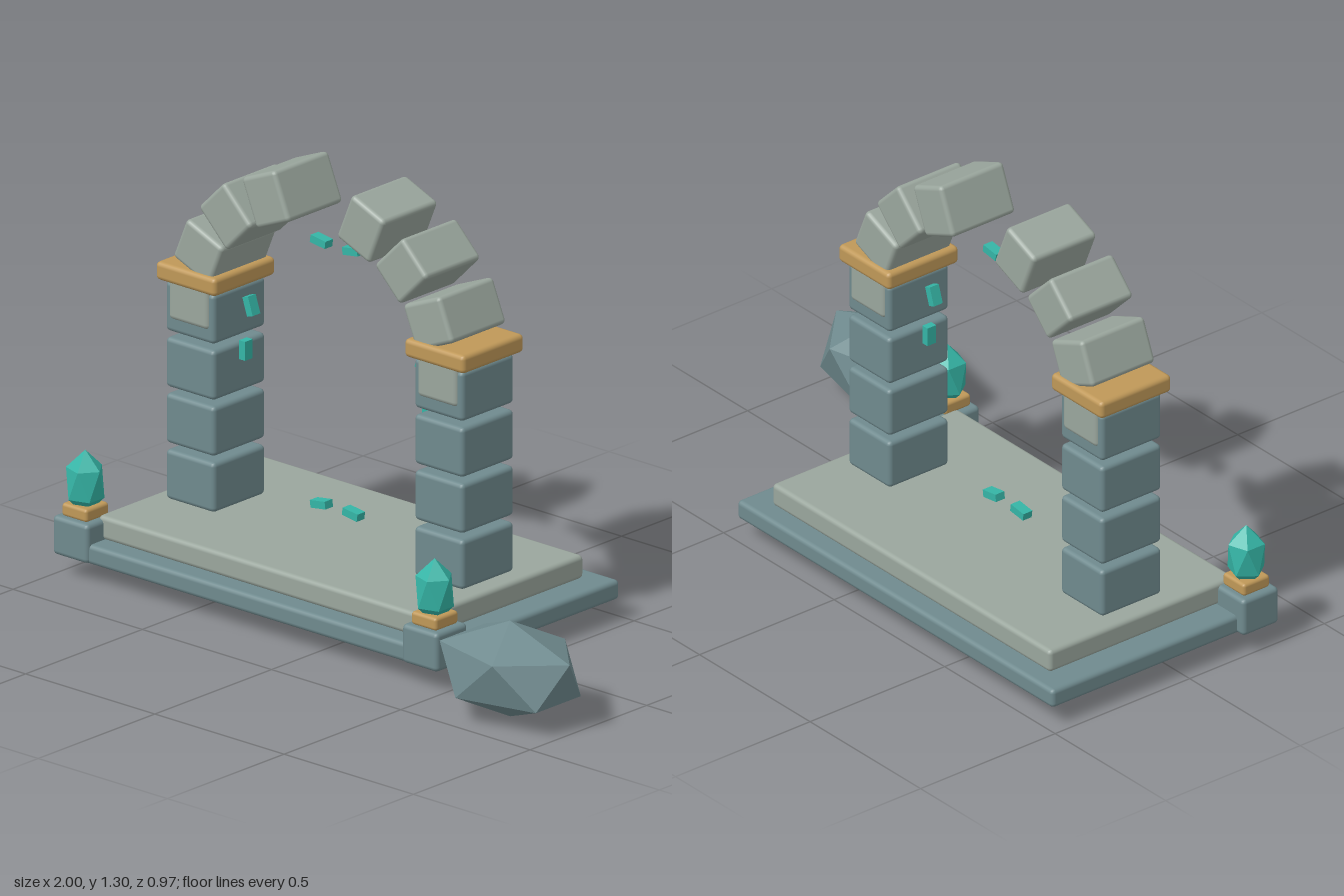
import * as THREE from 'three';
import { RoundedBoxGeometry } from 'three/addons/geometries/RoundedBoxGeometry.js';

const CX = -0.255; // middle of the gate
const CZ = -0.075; // depth line of pillars and arch

export function createModel() {
  const model = new THREE.Group();
  model.name = 'ruinedArchGate';

  const mat = (name, color, flatShading = false) => {
    const m = new THREE.MeshStandardMaterial({ color, flatShading });
    m.name = name;
    return m;
  };
  const slate = mat('slate', 0x6f8a8e);
  const stone = mat('paleStone', 0x9aa69d);
  const gold = mat('gold', 0xbf9858);
  const teal = mat('teal', 0x35b5a6);

  const add = (name, geometry, material, x, y, z, rotZ = 0) => {
    const mesh = new THREE.Mesh(geometry, material);
    mesh.name = name;
    mesh.position.set(x, y, z);
    mesh.rotation.z = rotZ;
    model.add(mesh);
    return mesh;
  };
  const block = (w, h, d, r = 0.014) => new RoundedBoxGeometry(w, h, d, 2, r);

  // Faceted gem standing on one vertex; non-indexed, so its normals are flat
  const gem = (rx, ry, rz) => {
    const g = new THREE.IcosahedronGeometry(1, 0);
    g.rotateZ(-Math.atan(2 / (1 + Math.sqrt(5))));
    g.scale(rx / 0.894, ry, rz / 0.894);
    g.computeVertexNormals();
    return g;
  };

  // Stepped base
  add('lowerStep', block(1.43, 0.06, 0.81), slate, CX, 0.092, -0.08);
  add('upperStep', block(1.26, 0.072, 0.69), stone, CX, 0.157, -0.08);

  // Pillars, capitals, corner posts and crystals on both sides
  const pillarGeo = block(0.19, 0.152, 0.223);
  const capGeo = block(0.232, 0.056, 0.263);
  const postGeo = block(0.138, 0.119, 0.134);
  const collarGeo = block(0.098, 0.04, 0.098, 0.01);
  const crystalGeo = gem(0.056, 0.1, 0.055);
  const archGeo = block(0.155, 0.14, 0.237);
  const runeGeo = new THREE.BoxGeometry(0.058, 0.023, 0.033);

  for (const side of [-1, 1]) {
    const px = CX + side * 0.481;
    for (let i = 0; i < 4; i++) {
      add('pillarBlock', pillarGeo, slate, px, 0.27 + i * 0.1715, CZ);
    }
    add('capital', capGeo, gold, px, 0.892, CZ);

    const cx = CX + side * 0.676;
    add('cornerPost', postGeo, slate, cx, 0.1235, 0.267);
    add('crystalCollar', collarGeo, gold, cx, 0.201, 0.267);
    add('crystal', crystalGeo, teal, cx, 0.282, 0.267);

    // Arch stones every 22.5 degrees, with the keystone missing
    for (let i = 0; i < 4; i++) {
      const a = (i * Math.PI) / 8;
      add('archStone', archGeo, stone,
        CX + side * 0.481 * Math.cos(a), 0.82 + 0.416 * Math.sin(a), CZ, side * a);
    }

    // Floating rune chips: offset from the middle, height, tilt
    const chips = [
      [0.062, 1.082, 0.14],
      [0.333, 0.817, 1.25],
      [0.354, 0.678, Math.PI / 2],
      [0.062, 0.278, -0.14],
    ];
    for (const [dx, y, tilt] of chips) {
      add('runeChip', runeGeo, teal, CX + side * dx, y, -0.065, side * tilt);
    }
  }

  // Fallen boulder
  add('boulder', gem(0.23, 0.1465, 0.164), slate, 0.77, 0.1475, 0.33);

  return model;
}
